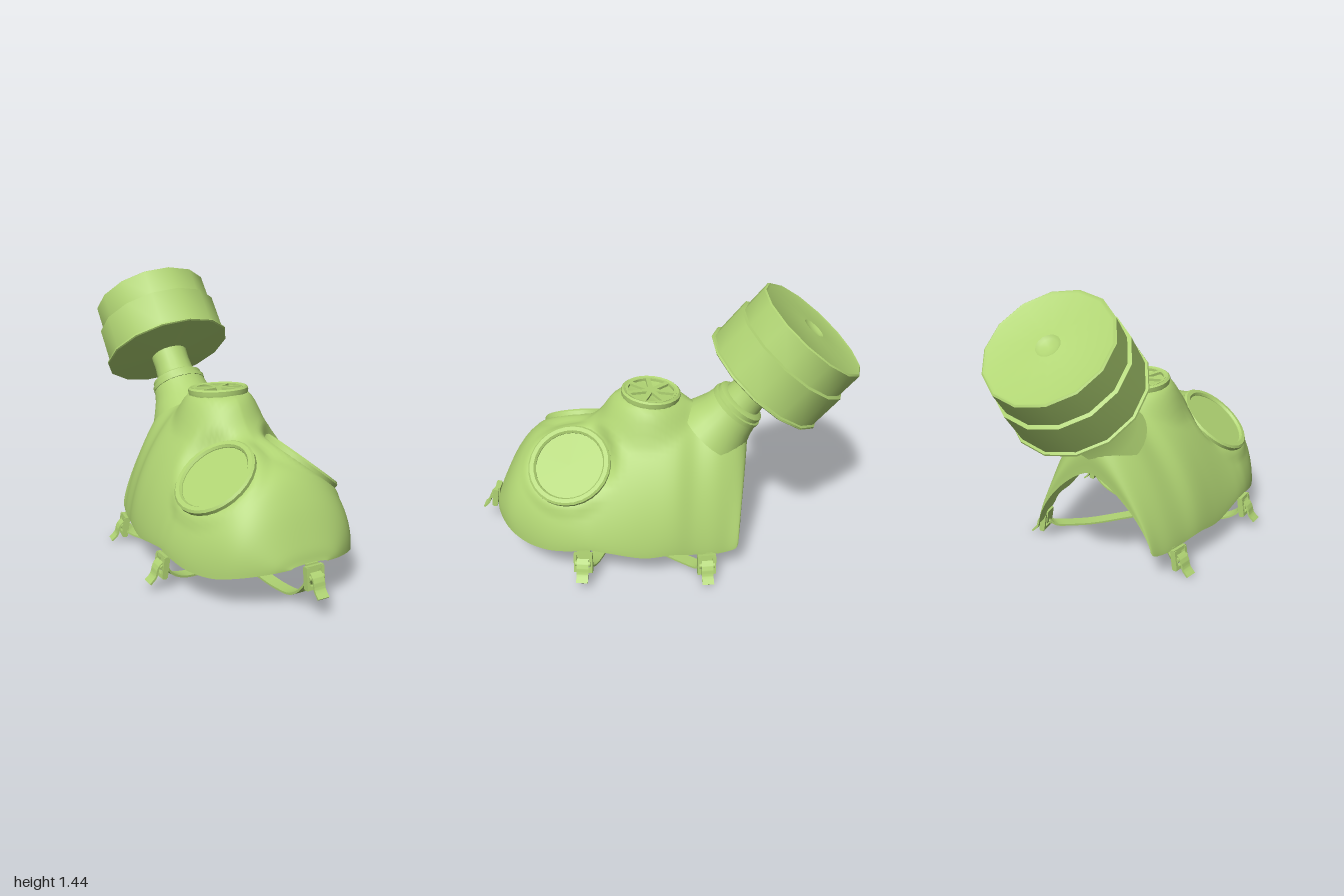
import * as THREE from 'three';
import { toCreasedNormals } from 'three/addons/utils/BufferGeometryUtils.js';

const V = (x, y, z) => new THREE.Vector3(x, y, z);
const green = new THREE.MeshStandardMaterial({ color: 0xb0d473, side: THREE.DoubleSide });

function add(parent, name, geo, x = 0, y = 0, z = 0) {
  const m = new THREE.Mesh(geo, green);
  m.name = name;
  m.position.set(x, y, z);
  parent.add(m);
  return m;
}

// Turned part from [radius, height] pairs, listed bottom to top
const turned = (pts, sides) =>
  toCreasedNormals(new THREE.LatheGeometry(pts.map((q) => new THREE.Vector2(...q)), sides), 0.55);

// Flat seats in the shell for the lenses (mirrored) and the valve
const valveTilt = -0.09;
const eye = { centre: V(0.247, 0.558, 0.45), normal: V(0.61, 0.78, 0.1).normalize(), inner: 0.2, outer: 0.27, depth: 0.012 };
const vent = { centre: V(0, 0.868, 0.05), normal: V(0, Math.cos(valveTilt), Math.sin(valveTilt)), inner: 0.135, outer: 0.25, depth: 0.012 };

// Face piece: arched sections from forehead to chin
// rim z, half width, rim y, crest z, crest y, roundness
const stations = [
  [0.885, 0.1, 0.225, 0.885, 0.237, 2],
  [0.86, 0.19, 0.215, 0.86, 0.315, 2.2],
  [0.78, 0.315, 0.19, 0.78, 0.48, 2.15],
  [0.68, 0.39, 0.165, 0.68, 0.6, 2],
  [0.55, 0.45, 0.165, 0.55, 0.645, 1.85],
  [0.42, 0.478, 0.185, 0.42, 0.68, 1.7],
  [0.34, 0.482, 0.2, 0.34, 0.73, 1.5],
  [0.24, 0.48, 0.185, 0.24, 0.83, 1.4],
  [0.05, 0.465, 0.15, 0.05, 0.855, 1.52],
  [-0.1, 0.44, 0.16, -0.1, 0.825, 1.6],
  [-0.2, 0.41, 0.145, -0.2, 0.81, 1.5],
  [-0.3, 0.385, 0.135, -0.32, 0.83, 1.4],
  [-0.37, 0.36, 0.135, -0.41, 0.77, 1.35],
  [-0.42, 0.345, 0.15, -0.455, 0.67, 1.35],
  [-0.43, 0.335, 0.17, -0.45, 0.53, 1.4],
];

function shellGeometry() {
  const rim = new THREE.CatmullRomCurve3(stations.map((s) => V(s[0], s[1], s[2])));
  const crest = new THREE.CatmullRomCurve3(stations.map((s) => V(s[3], s[4], s[5])));
  const geo = new THREE.PlaneGeometry(2, 1, 64, 80);
  const pos = geo.attributes.position;
  const p = V(), rel = V();
  for (let i = 0; i < pos.count; i++) {
    const u = pos.getX(i), v = THREE.MathUtils.clamp(pos.getY(i) + 0.5, 0, 1);
    const r = rim.getPoint(v), c = crest.getPoint(v);
    const a = Math.abs(u) * Math.PI / 2, e = 2 / c.z;
    const up = Math.pow(Math.max(Math.cos(a), 0), e);
    p.set(r.y * Math.pow(Math.sin(a), e), r.z + (c.y - r.z) * up, r.x + (c.x - r.x) * up);
    for (const seat of [vent, eye]) {
      rel.copy(p).sub(seat.centre);
      const off = rel.dot(seat.normal);
      const d = Math.sqrt(Math.max(rel.lengthSq() - off * off, 0));
      if (Math.abs(off) < 0.2) {
        const k = 1 - THREE.MathUtils.smoothstep(d, seat.inner, seat.outer);
        p.addScaledVector(seat.normal, k * (-seat.depth - off));
      }
    }
    pos.setXYZ(i, p.x * Math.sign(u), p.y, p.z);
  }
  geo.computeVertexNormals();
  return geo;
}

// Lens with a raised ring
function lens(side) {
  const g = new THREE.Group();
  g.name = side > 0 ? 'leftLens' : 'rightLens';
  g.position.set(eye.centre.x * side, eye.centre.y, eye.centre.z);
  g.quaternion.setFromUnitVectors(V(0, 0, 1), V(eye.normal.x * side, eye.normal.y, eye.normal.z));
  const ring = turned([[0.175, -0.025], [0.215, -0.025], [0.217, 0.006], [0.207, 0.016], [0.186, 0.016], [0.177, 0.004], [0.175, -0.025]], 28);
  add(g, 'lensRing', ring.rotateX(Math.PI / 2));
  add(g, 'lensGlass', new THREE.CircleGeometry(0.18, 28));
  return g;
}

// Exhale valve: pierced cap over a round base
function valve() {
  const g = new THREE.Group();
  g.name = 'exhaleValve';
  g.position.copy(vent.centre);
  g.rotation.x = valveTilt;
  add(g, 'valveBody', turned([[0.15, -0.025], [0.155, -0.005], [0.155, 0.01], [0.145, 0.018], [0.128, 0.01], [0.125, 0], [0, 0]], 24));
  const cap = new THREE.Shape().absarc(0, 0, 0.135, 0, Math.PI * 2);
  const n = 7;
  for (let i = 0; i < n; i++) {
    const a = (i / n) * Math.PI * 2 - Math.PI / 2, h = Math.PI / n;
    const hole = new THREE.Path();
    hole.absarc(0, 0, 0.12, a - h + 0.1, a + h - 0.1, false);
    hole.lineTo(Math.cos(a) * 0.03, Math.sin(a) * 0.03);
    hole.closePath();
    cap.holes.push(hole);
  }
  const grille = new THREE.ExtrudeGeometry(cap, { depth: 0.014, bevelEnabled: false, curveSegments: 6 });
  add(g, 'valveGrille', grille.rotateX(-Math.PI / 2));
  return g;
}

// Filter canister with its neck, along one tilted axis
function filter() {
  const g = new THREE.Group();
  g.name = 'filter';
  g.position.set(0, 0.97, -0.525);
  g.rotation.x = -0.675;
  add(g, 'canister', turned([[0.09, -0.02], [0.345, 0], [0.352, 0.005], [0.35, 0.014], [0.338, 0.018], [0.338, 0.21], [0.32, 0.216],
    [0.32, 0.355], [0.312, 0.361], [0.3, 0.355], [0.06, 0.362], [0.045, 0.352], [0, 0.347]], 14));
  add(g, 'neckPipe', turned([[0.108, -0.17], [0.103, -0.13], [0.099, -0.08], [0.102, 0]], 20));
  add(g, 'neckCollar', turned([[0.13, -0.225], [0.147, -0.22], [0.147, -0.198], [0.137, -0.194], [0.137, -0.172], [0.122, -0.163], [0.1, -0.158]], 20));
  add(g, 'neckSocket', turned([[0.205, -0.4], [0.178, -0.335], [0.155, -0.275], [0.141, -0.21]], 28));
  return g;
}

// Flat strap following a path, widened sideways
function ribbon(points, width) {
  const curve = new THREE.CatmullRomCurve3(points);
  const side = points[points.length - 1].clone().sub(points[0]).setY(0).normalize().cross(V(0, 1, 0));
  const geo = new THREE.BoxGeometry(width, 1, 0.01, 1, 24, 1);
  const pos = geo.attributes.position;
  for (let i = 0; i < pos.count; i++) {
    const t = THREE.MathUtils.clamp(pos.getY(i) + 0.5, 0, 1);
    const face = side.clone().cross(curve.getTangent(t));
    const p = curve.getPoint(t).addScaledVector(side, pos.getX(i)).addScaledVector(face, pos.getZ(i));
    pos.setXYZ(i, p.x, p.y, p.z);
  }
  return toCreasedNormals(geo, 0.8);
}

// Buckle hanging from the rim, facing outward along its local z
function buckle(x, y, z, turn) {
  const g = new THREE.Group();
  g.name = 'buckle';
  g.position.set(x, y, z);
  g.rotation.y = turn;
  const frame = new THREE.Group();
  frame.name = 'buckleFrame';
  frame.rotation.x = -0.15;
  g.add(frame);
  for (const s of [-1, 1]) {
    add(frame, 'frameSide', new THREE.BoxGeometry(0.016, 0.1, 0.03), s * 0.04, 0, 0);
    add(frame, 'frameBar', new THREE.BoxGeometry(0.096, 0.018, 0.022), 0, s * 0.046, 0);
  }
  const roller = new THREE.CylinderGeometry(0.014, 0.014, 0.08, 10).rotateZ(Math.PI / 2);
  add(frame, 'roller', roller, 0, 0, 0.012);
  add(frame, 'rimTab', new THREE.BoxGeometry(0.066, 0.075, 0.012), 0, 0.025, -0.014);
  add(g, 'strapTail', ribbon([V(0, 0.025, 0.005), V(0, 0, 0.03), V(0, -0.045, 0.045), V(0, -0.075, 0.075)], 0.06));
  return g;
}

export function createModel() {
  const root = new THREE.Group();
  root.name = 'gasMask';
  add(root, 'facePiece', shellGeometry());
  root.add(lens(1), lens(-1), valve(), filter());

  // Head harness: five straps meeting behind the head
  const hub = V(0, 0.014, 0.25);
  const anchors = [
    [0, 0.185, 0.922, 0],
    [0.487, 0.125, 0.36, Math.PI / 2], [-0.487, 0.125, 0.36, -Math.PI / 2],
    [0.41, 0.088, -0.27, 1.75], [-0.41, 0.088, -0.27, -1.75],
  ];
  for (const [x, y, z, turn] of anchors) {
    root.add(buckle(x, y, z, turn));
    const at = (f, h) => V(x * f, h, hub.z + (z - hub.z) * f);
    add(root, 'strap', ribbon([hub, at(0.3, 0.018), at(0.6, 0.022), at(0.8, 0.03 + y * 0.1), at(0.93, y * 0.65), at(0.985, y)], 0.068));
  }
  add(root, 'harnessHub', new THREE.CylinderGeometry(0.05, 0.05, 0.012, 10), 0, 0.01, hub.z);
  return root;
}
